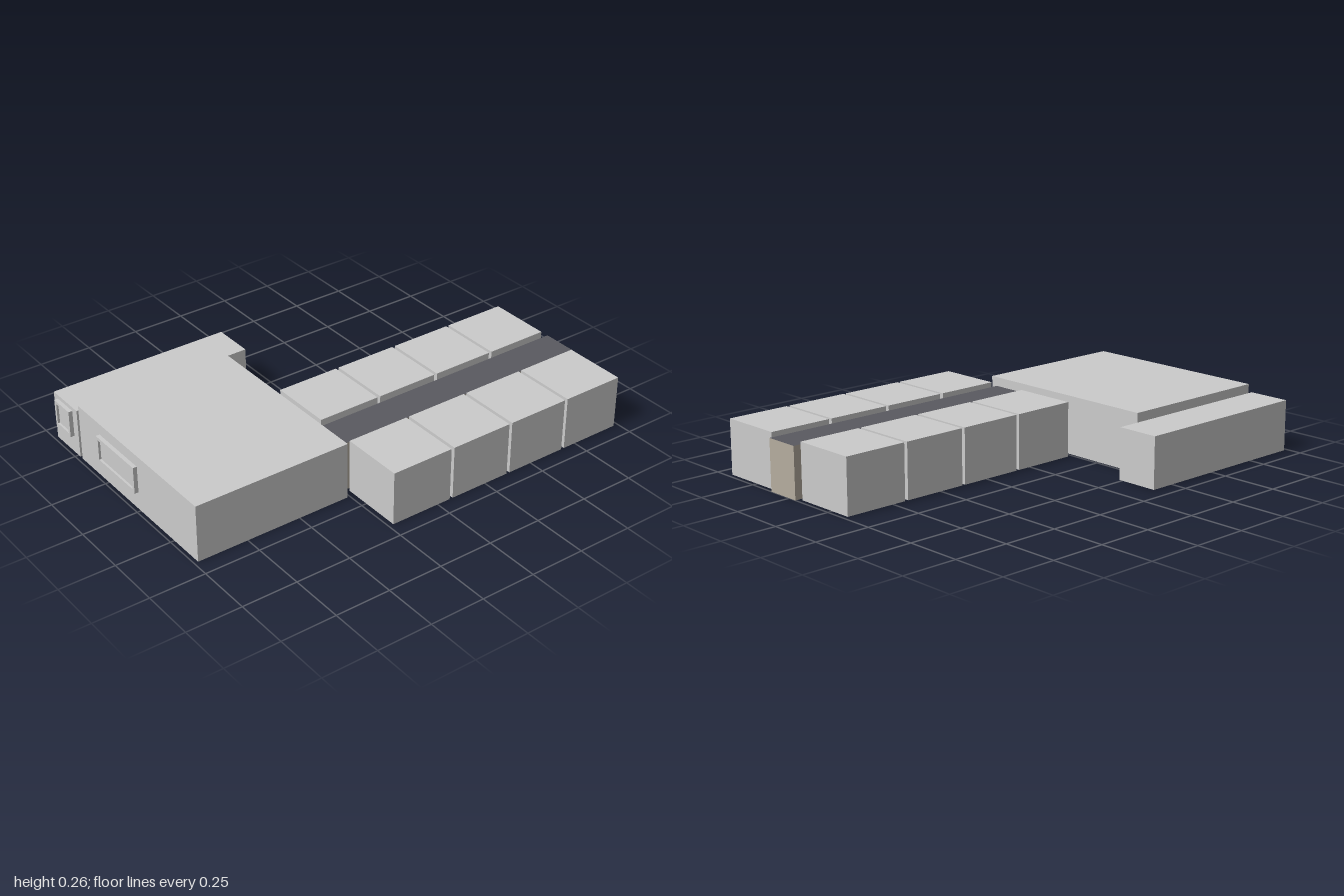
import * as THREE from 'three';

const grey = new THREE.MeshStandardMaterial({ color: 0xcccccc });
const wallMat = new THREE.MeshStandardMaterial({ color: 0xb5ad9f });
const roofMat = new THREE.MeshStandardMaterial({ color: 0x5a5a60 });
const floorMat = new THREE.MeshStandardMaterial({ color: 0x7a84a8 });
const paneMat = new THREE.MeshStandardMaterial({ color: 0xffffff });

// Box given by its limits on each axis
function block(name, [x0, x1], [y0, y1], [z0, z1], material = grey) {
  const mesh = new THREE.Mesh(new THREE.BoxGeometry(x1 - x0, y1 - y0, z1 - z0), material);
  mesh.position.set((x0 + x1) / 2, (y0 + y1) / 2, (z0 + z1) / 2);
  mesh.name = name;
  return mesh;
}

// Flat panel, turned to face outwards
function panel(name, width, height, position, rotation, material) {
  const mesh = new THREE.Mesh(new THREE.PlaneGeometry(width, height), material);
  mesh.position.set(...position);
  mesh.rotation.set(...rotation);
  mesh.name = name;
  return mesh;
}

// Corridor with light walls, dark roof and floor
function corridor([x0, x1], h, [z0, z1]) {
  const g = new THREE.Group();
  g.name = 'corridor';
  const w = x1 - x0, d = z1 - z0, cx = (x0 + x1) / 2, cz = (z0 + z1) / 2, q = Math.PI / 2;
  g.add(
    panel('corridorFrontWall', w, h, [cx, h / 2, z1], [0, 0, 0], wallMat),
    panel('corridorBackWall', w, h, [cx, h / 2, z0], [0, Math.PI, 0], wallMat),
    panel('corridorLeftEnd', d, h, [x1, h / 2, cz], [0, q, 0], wallMat),
    panel('corridorRightEnd', d, h, [x0, h / 2, cz], [0, -q, 0], wallMat),
    panel('corridorRoof', w, d, [cx, h, cz], [-q, 0, 0], roofMat),
    panel('corridorFloor', w, d, [cx, 0, cz], [q, 0, 0], floorMat)
  );
  return g;
}

// Raised rectangular frame with a pane, on the -x wall
function windowUnit(name, [y0, y1], [z0, z1]) {
  const g = new THREE.Group();
  g.name = name;
  const shape = new THREE.Shape([[z0, y0], [z1, y0], [z1, y1], [z0, y1]].map(p => new THREE.Vector2(...p)));
  const b = 0.014;
  shape.holes.push(new THREE.Path([[z0 + b, y0 + b], [z0 + b, y1 - b], [z1 - b, y1 - b], [z1 - b, y0 + b]]
    .map(p => new THREE.Vector2(...p))));
  const frame = new THREE.Mesh(new THREE.ExtrudeGeometry(shape, { depth: 0.018, bevelEnabled: false }), grey);
  frame.rotation.y = -Math.PI / 2;
  frame.position.x = -0.982;
  frame.name = 'windowFrame';
  g.add(frame, block('windowPane', [-0.99, -0.982], [y0 + b, y1 - b], [z0 + b, z1 - b], paneMat));
  return g;
}

export function createModel() {
  const model = new THREE.Group();
  model.name = 'building';

  // Large hall and the long room behind it
  model.add(block('mainHall', [-0.982, -0.262], [0, 0.26], [-0.467, 0.42]));
  model.add(block('rearRoom', [-0.982, -0.14], [0, 0.226], [-0.676, -0.485]));
  model.add(windowUnit('hallWindow', [0.085, 0.208], [-0.3, -0.01]));
  model.add(windowUnit('rearRoomWindow', [0.085, 0.208], [-0.643, -0.523]));

  // Corridor between two rows of four rooms
  model.add(corridor([-0.245, 1], 0.226, [0.21, 0.371]));
  for (let i = 0; i < 4; i++) {
    const x = -0.227 + i * 0.305;
    model.add(block('frontRoom' + (i + 1), [x, x + 0.29], [0, 0.243], [0.386, 0.676]));
    model.add(block('backRoom' + (i + 1), [x, x + 0.29], [0, 0.243], [-0.097, 0.193]));
  }
  return model;
}
